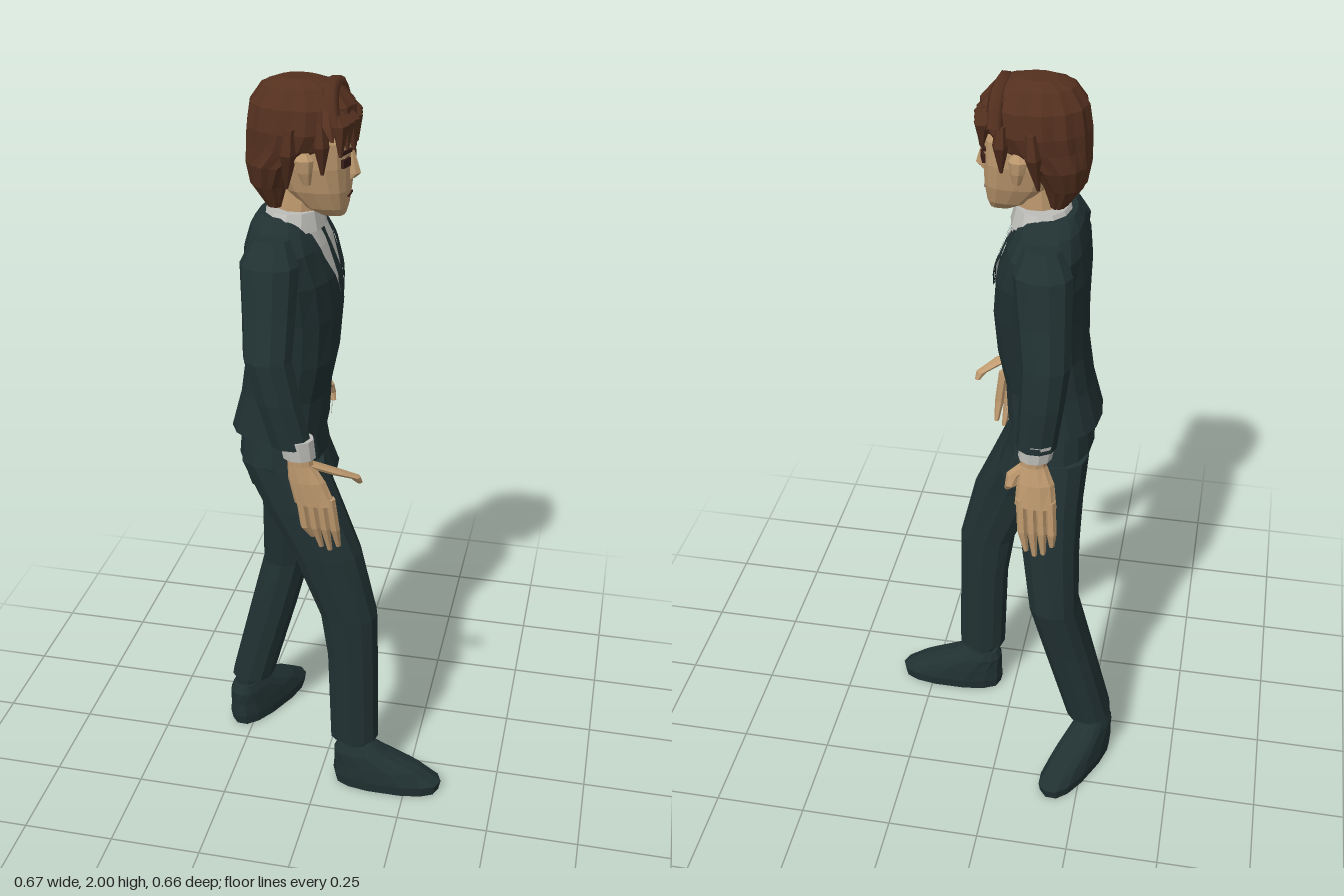
import * as THREE from 'three';

const paint = (name, color, side) => {
  const m = new THREE.MeshStandardMaterial({ color });
  m.name = name;
  if (side) m.side = side;
  return m;
};

export function createModel() {
  const suit = paint('dark suit', 0x213132, THREE.DoubleSide);
  const skin = paint('skin', 0xc09b70);
  const hairMat = paint('brown hair', 0x54301f);
  const white = paint('shirt white', 0xbcbcb8, THREE.DoubleSide);
  const dark = paint('dark eye', 0x3a1d18);
  const model = new THREE.Group();
  model.name = 'walkingMan';

  const add = (name, geo, mat, parent = model) => {
    const mesh = new THREE.Mesh(geo, mat);
    mesh.name = name;
    parent.add(mesh);
    return mesh;
  };

  const faceted = (pos, idx) => {
    const g = new THREE.BufferGeometry();
    g.setAttribute('position', new THREE.Float32BufferAttribute(pos, 3));
    g.setIndex(idx);
    const flat = g.toNonIndexed();
    flat.computeVertexNormals();
    return flat;
  };

  // Closed skin over level rings [x, y, z, radius x, radius z]; n squares them off, ridge makes grooves
  const loft = (rings, sides = 12, n = 2, ridge = 0) => {
    const r = rings[0][1] > rings.at(-1)[1] ? [...rings].reverse() : rings;
    const pos = [], idx = [];
    const bend = (v) => Math.sign(v) * Math.abs(v) ** (2 / n);
    for (const [x, y, z, rx, rz] of r)
      for (let j = 0; j < sides; j++) {
        const a = (j / sides) * Math.PI * 2, k = j % 2 ? 1 - ridge : 1;
        pos.push(x + rx * k * bend(Math.cos(a)), y, z + rz * k * bend(Math.sin(a)));
      }
    const last = r.length - 1, base = r.length * sides;
    pos.push(...r[0].slice(0, 3), ...r[last].slice(0, 3));
    for (let j = 0; j < sides; j++) {
      const k = (j + 1) % sides;
      for (let i = 0; i < last; i++) {
        const a = i * sides + j, b = i * sides + k;
        idx.push(a, a + sides, b, b, a + sides, b + sides);
      }
      idx.push(base, j, k, base + 1, last * sides + k, last * sides + j);
    }
    return faceted(pos, idx);
  };

  // Jacket body
  const torso = [
    [-0.12, 1.1, 0.02, 0.122, 0.147], [-0.103, 1.2, 0.022, 0.112, 0.133],
    [-0.085, 1.3, 0.022, 0.115, 0.138], [-0.08, 1.42, 0.015, 0.118, 0.155],
    [-0.085, 1.52, 0.015, 0.115, 0.175], [-0.095, 1.6, 0.015, 0.096, 0.185],
    [-0.1, 1.65, 0.018, 0.078, 0.135], [-0.1, 1.675, 0.025, 0.06, 0.085],
  ];
  add('jacket', loft(torso, 16, 2.4), suit);

  // Thin patch lying on the chest; rows are [y, z from, z to]
  const chestX = (y, z) => {
    const i = Math.max(0, Math.min(torso.length - 2, torso.findIndex((t) => t[1] > y) - 1));
    const a = torso[i], b = torso[i + 1], t = (y - a[1]) / (b[1] - a[1]);
    const [x, , cz, rx, rz] = a.map((v, k) => v + (b[k] - v) * t);
    return x + rx * (1 - Math.min(1, Math.abs((z - cz) / rz)) ** 2.4) ** (1 / 2.4);
  };
  const patch = (rows, lift) => {
    const pos = [], idx = [], cols = 6, steps = 5;
    for (let s = 0; s < rows.length - 1; s++)
      for (let i = 0; i <= steps; i++) {
        const [y, z0, z1] = rows[s].map((v, k) => v + ((rows[s + 1][k] - v) * i) / steps);
        for (let j = 0; j <= cols; j++) {
          const z = z0 + ((z1 - z0) * j) / cols;
          pos.push(chestX(y, z) + lift, y, z);
        }
      }
    const w = cols + 1;
    for (let i = 0; i < pos.length / 3 / w - 1; i++)
      for (let j = 0; j < cols; j++) {
        const a = i * w + j;
        idx.push(a, a + 1, a + w, a + 1, a + w + 1, a + w);
      }
    return faceted(pos, idx);
  };
  add('shirtFront', patch([[1.665, -0.04, 0.1], [1.6, -0.038, 0.098], [1.455, 0.03, 0.03]], 0.005), white);
  add('shirtTail', patch([[1.2, -0.025, -0.025], [1.1, -0.015, -0.055]], 0.005), white);
  add('tie', patch([[1.645, 0.014, 0.046], [1.615, 0.02, 0.04], [1.5, 0.008, 0.052], [1.455, 0.03, 0.03]], 0.009), suit);
  for (const s of [1, -1])
    add('lapel', patch([[1.64, 0.03 + s * 0.07, 0.03 + s * 0.085], [1.58, 0.03 + s * 0.06, 0.03 + s * 0.1],
      [1.45, 0.03, 0.03 + s * 0.012]], 0.009), suit);
  add('collar', loft([[-0.082, 1.64, 0.025, 0.085, 0.105], [-0.075, 1.685, 0.028, 0.066, 0.08]], 12), white);

  // Trousers
  add('trouserSeat', loft([[-0.115, 1.13, 0.02, 0.1, 0.125], [-0.112, 1.02, 0.015, 0.112, 0.15],
    [-0.09, 0.95, 0.01, 0.115, 0.15], [-0.08, 0.915, 0.01, 0.08, 0.09]], 16, 2.4), suit);
  add('frontTrouserLeg', loft([[-0.1, 1.02, 0.09, 0.11, 0.075], [-0.045, 0.9, 0.1, 0.105, 0.075],
    [0.02, 0.77, 0.112, 0.095, 0.066], [0.082, 0.58, 0.115, 0.078, 0.061],
    [0.093, 0.45, 0.113, 0.07, 0.059], [0.1, 0.17, 0.113, 0.068, 0.058]], 12, 2.4), suit);
  add('backTrouserLeg', loft([[-0.12, 1.02, -0.06, 0.1, 0.08], [-0.122, 0.9, -0.085, 0.09, 0.085],
    [-0.132, 0.77, -0.115, 0.078, 0.08], [-0.15, 0.58, -0.142, 0.067, 0.08],
    [-0.19, 0.42, -0.13, 0.066, 0.075], [-0.255, 0.17, -0.118, 0.062, 0.072]], 12, 2.4), suit);

  // Shoes, with the ankle at the local origin and the toe on +x
  const shoe = (name, x, z, turn) => {
    const g = new THREE.Group();
    g.name = name;
    add('shoeBody', loft([[0.094, 0, 0, 0.15, 0.054], [0.094, 0.03, 0, 0.156, 0.057],
      [0.066, 0.07, 0, 0.125, 0.053], [0.018, 0.11, 0, 0.077, 0.046], [0.002, 0.135, 0, 0.05, 0.036]], 14, 2.5), suit, g);
    add('ankle', loft([[0, 0.1, 0, 0.04, 0.035], [0, 0.2, 0, 0.04, 0.035]], 8), suit, g);
    g.position.set(x, 0, z);
    g.rotation.y = turn;
    model.add(g);
  };
  shoe('frontShoe', 0.1, 0.108, 0);
  shoe('backShoe', -0.272, -0.108, 1.12);

  // Sleeves
  add('rightSleeve', loft([[-0.1, 1.645, 0.165, 0.045, 0.035], [-0.1, 1.59, 0.19, 0.072, 0.055],
    [-0.095, 1.48, 0.222, 0.066, 0.054], [-0.09, 1.38, 0.262, 0.06, 0.053],
    [-0.062, 1.28, 0.276, 0.056, 0.049], [-0.03, 1.165, 0.28, 0.052, 0.043]], 10), suit);
  add('leftSleeve', loft([[-0.1, 1.645, -0.13, 0.045, 0.035], [-0.105, 1.59, -0.155, 0.072, 0.055],
    [-0.115, 1.48, -0.185, 0.066, 0.053], [-0.125, 1.38, -0.218, 0.06, 0.049],
    [-0.12, 1.28, -0.236, 0.055, 0.047], [-0.11, 1.165, -0.246, 0.05, 0.042]], 10), suit);

  // Hands: cuff, palm, four fingers and a thumb
  const hand = (name, [wx, wy, wz], [kx, ky, kz], [tx, ty, tz], [hx, hy, hz]) => {
    const g = new THREE.Group();
    g.name = name;
    add('cuff', loft([[wx - 0.005, wy + 0.05, wz, 0.044, 0.037], [wx + 0.002, wy, wz, 0.042, 0.036]], 10), white, g);
    add('palm', loft([[wx, wy + 0.02, wz, 0.03, 0.026], [wx + 0.005, wy - 0.02, wz, 0.033, 0.025],
      [(wx + kx) / 2, (wy + ky) / 2, (wz + kz) / 2, 0.047, 0.025], [kx, ky, kz, 0.053, 0.019]], 10), skin, g);
    for (let i = 0; i < 4; i++) {
      const o = i - 1.5, up = [0.035, 0.008, 0, 0.014][i];
      add('finger', loft([[kx + o * 0.025, ky + 0.02, kz, 0.013, 0.014],
        [(kx + tx) / 2 + o * 0.025, (ky + ty) / 2, (kz + tz) / 2 + Math.sign(kz) * 0.004, 0.013, 0.013],
        [tx + o * 0.022, ty + up, tz, 0.007, 0.008]], 6), skin, g);
    }
    add('thumb', loft([[wx + 0.012, wy - 0.015, wz, 0.018, 0.02],
      [(wx + hx) / 2 + 0.015, (wy + hy) / 2 - 0.005, (wz + hz) / 2, 0.02, 0.019],
      [hx - 0.015, hy + 0.02, hz + Math.sign(kz) * 0.01, 0.015, 0.014], [hx - 0.005, hy, hz, 0.008, 0.008]], 7), skin, g);
    model.add(g);
  };
  hand('rightHand', [-0.012, 1.135, 0.282], [0.03, 1.005, 0.283], [0.05, 0.862, 0.258], [0.132, 1.04, 0.212]);
  hand('leftHand', [-0.11, 1.135, -0.25], [-0.115, 1.0, -0.272], [-0.125, 0.842, -0.272], [-0.035, 1.03, -0.248]);

  // Head and face
  const Z = 0.03;
  add('neck', loft([[-0.07, 1.62, Z, 0.06, 0.056], [-0.058, 1.76, Z, 0.054, 0.052]], 10), skin);
  add('head', loft([[0.022, 1.675, Z, 0.03, 0.034], [0.005, 1.695, Z, 0.053, 0.052],
    [-0.015, 1.74, Z, 0.079, 0.072], [-0.03, 1.8, Z, 0.095, 0.087], [-0.035, 1.86, Z, 0.1, 0.091],
    [-0.045, 1.92, Z, 0.09, 0.08], [-0.045, 1.96, Z, 0.05, 0.05]], 16, 3), skin);
  add('nose', loft([[0.062, 1.763, Z, 0.012, 0.012], [0.068, 1.775, Z, 0.02, 0.014],
    [0.062, 1.835, Z, 0.008, 0.007]], 6), skin);
  add('mouth', new THREE.BoxGeometry(0.006, 0.005, 0.04), dark).position.set(0.061, 1.723, Z);
  for (const s of [1, -1]) {
    const plate = (name, y, h, w) => {
      const m = add(name, new THREE.BoxGeometry(0.008, h, w), dark);
      m.position.set(0.061, y, Z + s * 0.047);
      m.rotation.y = -s * 0.3;
    };
    plate('eye', 1.812, 0.02, 0.034);
    plate('eyebrow', 1.838, 0.009, 0.046);
    add('ear', loft([[-0.025, 1.765, Z + s * 0.083, 0.01, 0.01], [-0.028, 1.795, Z + s * 0.09, 0.018, 0.014],
      [-0.03, 1.825, Z + s * 0.093, 0.024, 0.016], [-0.03, 1.843, Z + s * 0.09, 0.012, 0.01]], 7), skin);
  }

  // Hair: a grooved cap running down to the nape, then loose locks
  add('hairCap', loft([[-0.06, 1.998, Z, 0.045, 0.035], [-0.055, 1.982, Z, 0.095, 0.072],
    [-0.052, 1.94, Z, 0.128, 0.103], [-0.055, 1.885, Z, 0.134, 0.113], [-0.07, 1.845, Z, 0.12, 0.108],
    [-0.112, 1.8, Z, 0.078, 0.1], [-0.125, 1.745, Z, 0.055, 0.078], [-0.115, 1.69, Z, 0.025, 0.05]], 28, 2.1, 0.05), hairMat);
  const lock = (a, b, c, w) => add('hairLock', loft([[...a, w * 0.5, w * 0.7], [...b, w * 0.75, w], [...c, 0.004, 0.005]], 6), hairMat);
  for (let i = 0; i < 6; i++) {
    const o = i - 2.5;
    lock([0.01, 1.985 - Math.abs(o) * 0.008, Z + o * 0.022], [0.07 - Math.abs(o) * 0.006, 1.91, Z + o * 0.031],
      [0.08 - Math.abs(o) * 0.009, 1.85 - (i % 2) * 0.012, Z + o * 0.034 + 0.008], 0.028);
  }
  lock([0.02, 1.95, 0.1], [0.03, 1.91, 0.125], [0.045, 1.882, 0.156], 0.024);
  for (const s of [1, -1]) {
    lock([0.01, 1.91, Z + s * 0.09], [0.012, 1.86, Z + s * 0.09], [0.012, 1.79, Z + s * 0.082], 0.026);
    lock([-0.06, 1.9, Z + s * 0.1], [-0.065, 1.84, Z + s * 0.098], [-0.075, 1.75, Z + s * 0.078], 0.03);
  }
  // Swept band across the crown
  const band = new THREE.CatmullRomCurve3([[0.025, 1.9, -0.07], [0.025, 1.965, -0.03], [0.02, 1.98, 0.03],
    [0.025, 1.96, 0.085], [0.04, 1.9, 0.125]].map((p) => new THREE.Vector3(...p)));
  add('hairBand', new THREE.TubeGeometry(band, 10, 0.02, 6), hairMat);

  return model;
}
